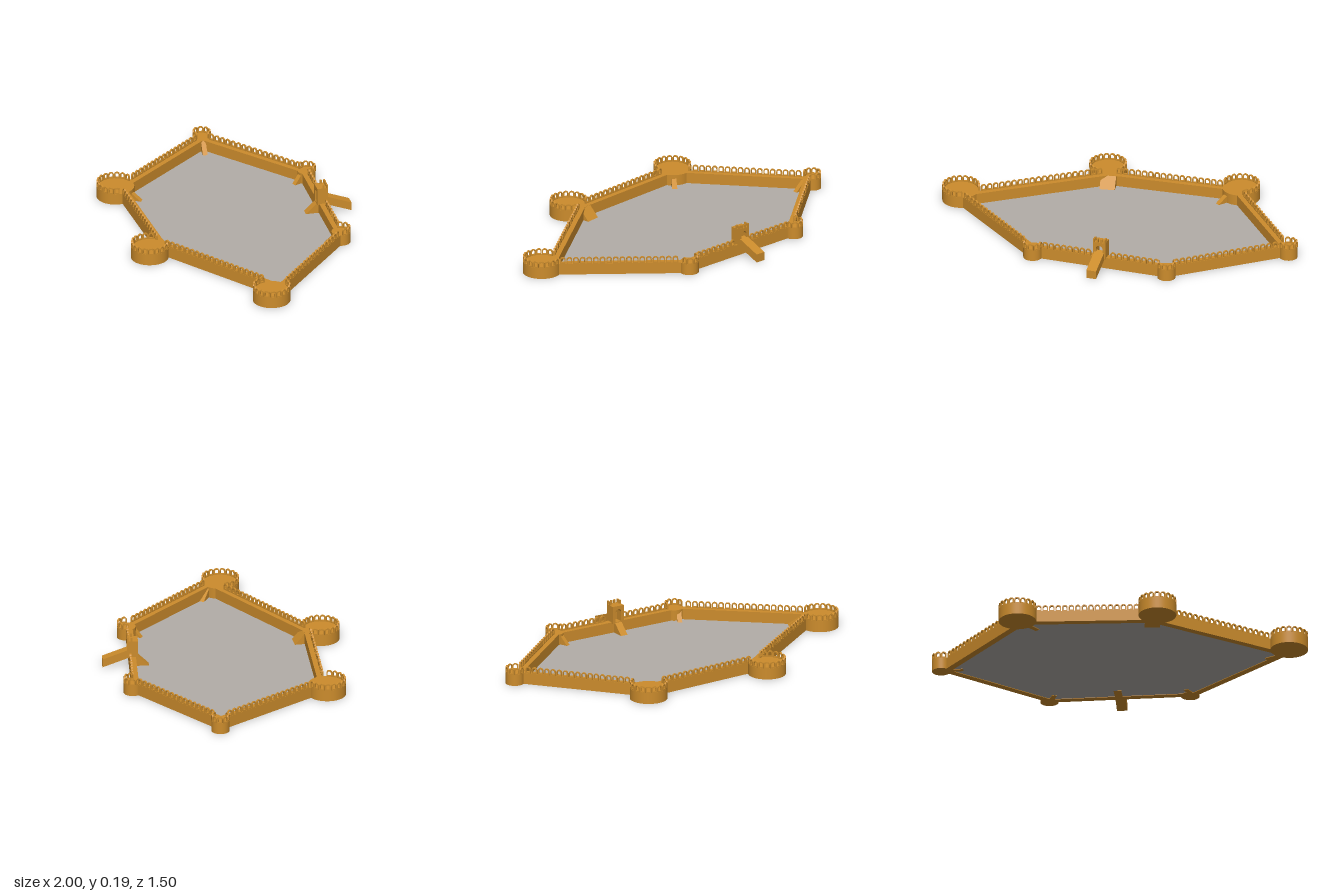
import * as THREE from 'three';

const STONE = new THREE.MeshStandardMaterial({ color: 0xcc8c2c });
const GROUND = new THREE.MeshStandardMaterial({ color: 0xb2ada8, side: THREE.DoubleSide });
const WALL_H = 0.067, WALL_W = 0.04, PITCH = 0.037;

// Tower centre and radius, wall corner, inner stair: [direction x, z, length from corner, width]
const CORNERS = [
  { c: [-0.947, -0.489], r: 0.053, p: [-0.92, -0.473], stair: [0.9, 0.45, 0.1, 0.028] },
  { c: [-0.217, -0.697], r: 0.053, p: [-0.217, -0.68], stair: [0, 1, 0.08, 0.028] },
  { c: [0.537, -0.366], r: 0.055, p: [0.548, -0.345], stair: [-0.75, 0.66, 0.085, 0.028] },
  { c: [0.89, 0.418], r: 0.11, p: [0.885, 0.35], stair: [-0.64, -0.77, 0.13, 0.032] },
  { c: [0.013, 0.636], r: 0.11, p: [0.013, 0.55], stair: [0.25, -0.97, 0.085, 0.09] },
  { c: [-0.737, 0.308], r: 0.11, p: [-0.7, 0.29], stair: [0.87, -0.5, 0.13, 0.03] },
];

function add(parent, name, geometry, x = 0, y = 0, z = 0, material = STONE) {
  const mesh = new THREE.Mesh(geometry, material);
  mesh.name = name;
  mesh.position.set(x, y, z);
  parent.add(mesh);
  return mesh;
}

// Extrusion centred on its depth
function slab(shape, depth) {
  const g = new THREE.ExtrudeGeometry(shape, { depth, bevelEnabled: false, curveSegments: 6 });
  return g.translate(0, 0, -depth / 2);
}

const polygon = (pts) => new THREE.Shape(pts.map(([x, y]) => new THREE.Vector2(x, y)));

// Round-topped outline, used for battlements and openings
function archOutline(path, w, bottom, top) {
  path.moveTo(-w / 2, bottom);
  path.lineTo(w / 2, bottom);
  path.lineTo(w / 2, top - w / 2);
  path.absarc(0, top - w / 2, w / 2, 0, Math.PI, false);
  path.closePath();
  return path;
}

// Pierced round-topped battlement
function battlementGeometry() {
  const shape = archOutline(new THREE.Shape(), 0.033, 0, 0.04);
  shape.holes.push(archOutline(new THREE.Path(), 0.019, 0.008, 0.033));
  return slab(shape, 0.01);
}

// Rotation that turns local +x towards (dx, dz)
const heading = (dx, dz) => Math.atan2(-dz, dx);

// True when a point lies on the courtyard side of every wall's outer face
function insideWalls(x, z) {
  return CORNERS.every(({ p }, i) => {
    const q = CORNERS[(i + 1) % CORNERS.length].p;
    const dx = q[0] - p[0], dz = q[1] - p[1];
    const out = ((x - p[0]) * dz - (z - p[1]) * dx) / Math.hypot(dx, dz);
    return out < WALL_W / 2;
  });
}

function buildTower({ c, r }, battlement) {
  const tower = new THREE.Group();
  tower.name = 'cornerTower';
  tower.position.set(c[0], 0, c[1]);
  add(tower, 'towerBody', new THREE.CylinderGeometry(r, r, WALL_H, 48), 0, WALL_H / 2, 0);
  const count = Math.round((2 * Math.PI * r) / PITCH);
  for (let i = 0; i < count; i++) {
    const a = (i / count) * Math.PI * 2, rr = r - 0.006;
    const x = Math.sin(a) * rr, z = Math.cos(a) * rr;
    if (insideWalls(c[0] + x, c[1] + z)) continue;
    add(tower, 'towerBattlement', battlement, x, WALL_H - 0.001, z).rotation.y = a;
  }
  return tower;
}

function buildWall(a, b, battlement, gateAt) {
  const dx = b.p[0] - a.p[0], dz = b.p[1] - a.p[1], len = Math.hypot(dx, dz);
  const wall = new THREE.Group();
  wall.name = 'curtainWall';
  wall.position.set(a.p[0], 0, a.p[1]);
  wall.rotation.y = heading(dx, dz);
  add(wall, 'wallBody', new THREE.BoxGeometry(len, WALL_H, WALL_W), len / 2, WALL_H / 2, 0);
  const count = Math.floor(len / PITCH);
  for (let i = 0; i < count; i++) {
    const s = ((i + 0.5) / count) * len;
    const x = a.p[0] + (dx / len) * s, z = a.p[1] + (dz / len) * s;
    const inTower = [a, b].some(({ c, r }) => Math.hypot(x - c[0], z - c[1]) < r);
    const inGate = gateAt !== undefined && Math.abs(s - gateAt) < 0.05;
    if (inTower || inGate) continue;
    add(wall, 'wallBattlement', battlement, s, WALL_H - 0.001, -WALL_W / 2 + 0.006);
  }
  if (gateAt !== undefined) {
    const gate = buildGate();
    gate.position.x = gateAt;
    wall.add(gate);
  }
  return wall;
}

// Gatehouse on the wall top; local -z points outward
function buildGate() {
  const gate = new THREE.Group();
  gate.name = 'gatehouse';
  const front = polygon([[-0.038, 0.06], [0.038, 0.06], [0.038, 0.165], [-0.038, 0.165]]);
  front.holes.push(archOutline(new THREE.Path(), 0.04, 0.068, 0.145));
  add(gate, 'gateBody', slab(front, 0.064));
  // Small square battlements along the outer edge and sides
  for (const x of [-0.033, -0.011, 0.011, 0.033]) {
    add(gate, 'gateBattlement', new THREE.BoxGeometry(0.011, 0.022, 0.01), x, 0.175, -0.027);
  }
  for (const x of [-0.033, 0.033]) {
    add(gate, 'gateBattlement', new THREE.BoxGeometry(0.01, 0.022, 0.012), x, 0.175, -0.006);
  }
  // Sloping bridge outward and steep ramp into the courtyard
  const bridge = polygon([[0.015, 0.06], [0.175, 0], [0.175, 0.05], [0.015, 0.11]]);
  const outer = add(gate, 'bridge', slab(bridge, 0.06), 0.004, 0, 0);
  outer.position.set(0, 0, 0);
  outer.rotation.y = Math.PI / 2;
  const inner = add(gate, 'innerRamp', rampGeometry(0.1, 0.045));
  inner.rotation.y = -Math.PI / 2;
  return gate;
}

// Wedge running along +x from wall height down to the ground
function rampGeometry(len, width) {
  const level = len * 0.3;
  return slab(polygon([[0, 0], [len, 0], [level, WALL_H - 0.001], [0, WALL_H - 0.001]]), width);
}

export function createModel() {
  const model = new THREE.Group();
  model.name = 'fortress';
  const battlement = battlementGeometry();

  // Courtyard floor
  const floor = new THREE.ShapeGeometry(polygon(CORNERS.map(({ p }) => [p[0], -p[1]])));
  add(model, 'courtyard', floor.rotateX(-Math.PI / 2), 0, 0.003, 0, GROUND);

  CORNERS.forEach((corner, i) => {
    const next = CORNERS[(i + 1) % CORNERS.length];
    model.add(buildTower(corner, battlement));
    model.add(buildWall(corner, next, battlement, i === 1 ? 0.402 : undefined));
    const [dx, dz, len, width] = corner.stair;
    const ramp = add(model, 'towerRamp', rampGeometry(len, width), corner.p[0], 0, corner.p[1]);
    ramp.rotation.y = heading(dx, dz);
  });
  return model;
}
